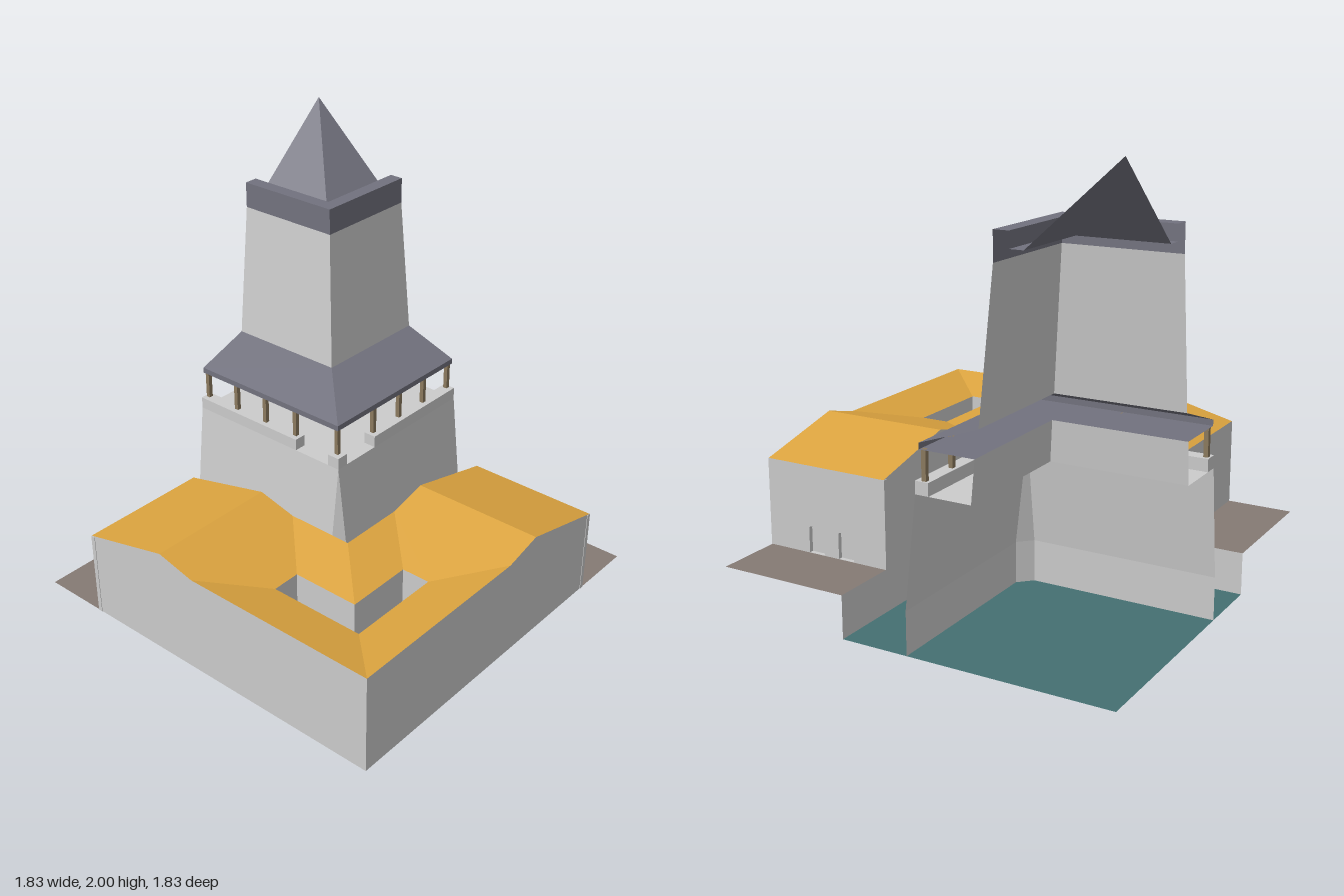
import * as THREE from 'three';

const R = 0.915;            // half the plot, also the tower axis at (R, -R)
const GROUND = 0.19, EAVE = 0.585, EDGE = 0.645, RIDGE = 0.69;

const mat = (color) => new THREE.MeshStandardMaterial({ color, flatShading: true, side: THREE.DoubleSide });
const grey = mat(0xcccccc), slate = mat(0x72727e), gold = mat(0xdca43f), teal = mat(0x447072);
const earth = mat(0x857a74), sand = mat(0xc8b493), wood = mat(0x8b7a5e);

// Mirror across the plot's diagonal: the front half becomes the side half
const mirror = ([x, z, y]) => [-z, -x, y];

// Quads given as corners [x, z, y]; triangles of no area are dropped
function quads(list) {
  const pos = [], tri = new THREE.Triangle();
  for (const q of list) {
    const [a, b, c, d] = q.map(([x, z, y]) => new THREE.Vector3(x, y, z));
    for (const t of [[a, b, c], [a, c, d]]) {
      if (tri.set(...t).getArea() > 1e-7) t.forEach((v) => pos.push(v.x, v.y, v.z));
    }
  }
  const g = new THREE.BufferGeometry();
  g.setAttribute('position', new THREE.Float32BufferAttribute(pos, 3));
  g.computeVertexNormals();
  return g;
}

// Vertical wall under a path of [x, z, top]
function wall(path, bottom) {
  return quads(path.slice(1).map((b, i) => {
    const a = path[i];
    return [[a[0], a[1], bottom], [b[0], b[1], bottom], b, a];
  }));
}

// Quarter of a square tower from a profile of [half width, height, corner chamfer]
function quarter(profile) {
  const rings = profile.map(([d, y, c = 0]) => [
    [R - d, -R, y], [R - d, d - R - c, y], [R - d + c, d - R, y], [R, d - R, y]]);
  const list = [];
  for (let j = 0; j + 1 < rings.length; j++)
    for (let i = 0; i < 3; i++)
      list.push([rings[j][i], rings[j][i + 1], rings[j + 1][i + 1], rings[j + 1][i]]);
  return quads(list);
}

// Flat floor from outline points [x, z]
function floor(points, y, hole) {
  const shape = new THREE.Shape(points.map(([x, z]) => new THREE.Vector2(x, z)));
  if (hole) shape.holes.push(new THREE.Path(hole.map(([x, z]) => new THREE.Vector2(x, z))));
  return new THREE.ShapeGeometry(shape).rotateX(Math.PI / 2).translate(0, y, 0);
}

function box(x0, x1, y0, y1, z0, z1) {
  return new THREE.BoxGeometry(x1 - x0, y1 - y0, z1 - z0)
    .translate((x0 + x1) / 2, (y0 + y1) / 2, (z0 + z1) / 2);
}

// Gable end with two recessed doors, facing local +z
function endWall(s) {
  const w = 0.305, h = EAVE - GROUND, t = 0.02;
  const shape = new THREE.Shape();
  shape.moveTo(-w, 0).lineTo(w, 0).lineTo(w, h).lineTo(-w, h).closePath();
  for (const u of [-0.055 * s, 0.1 * s]) {
    const a = 0.04, k = 0.122, r = 0.015;
    const p = new THREE.Path();
    p.moveTo(u - a, 0.001).lineTo(u - a, k - r);
    p.quadraticCurveTo(u - a, k, u - a + r, k).lineTo(u + a - r, k);
    p.quadraticCurveTo(u + a, k, u + a, k - r).lineTo(u + a, 0.001).closePath();
    shape.holes.push(p);
  }
  const group = new THREE.Group();
  const face = new THREE.Mesh(
    new THREE.ExtrudeGeometry(shape, { depth: t, bevelEnabled: false, curveSegments: 4 }).translate(0, 0, -t), grey);
  face.name = 'endWallFace';
  const doors = new THREE.Mesh(new THREE.PlaneGeometry(0.3, 0.15).translate(0, 0.075, -t - 0.001), grey);
  doors.name = 'doors';
  group.add(face, doors);
  return group;
}

export function createModel() {
  const model = new THREE.Group();
  const add = (name, geometry, material) => {
    const m = new THREE.Mesh(geometry, material);
    m.name = name;
    model.add(m);
    return m;
  };

  // Moat and ground
  const m = 0.31, e = 0.61;
  add('water', floor([[-m, -R], [R, -R], [R, m], [-m, m]], 0), teal);
  add('moatWall', wall([[R, m, GROUND], [-m, m, GROUND], [-m, -R, GROUND]].reverse(), 0), grey);
  add('groundFront', floor([[e, m], [R, m], [R, R], [e, R]], GROUND), earth);
  add('groundBack', floor([[-R, -R], [-m, -R], [-m, -e], [-R, -e]], GROUND), earth);

  // Courtyard building
  const court = [[-0.68, 0.24], [-0.55, 0.24], [-0.55, 0.55], [-0.24, 0.55], [-0.24, 0.68], [-0.68, 0.68]];
  add('buildingBase', floor([[-R, -e], [-m, -e], [-m, m], [e, m], [e, R], [-R, R]], GROUND, court), grey);
  add('courtyardFloor', floor(court, GROUND), sand);
  add('courtyardWall', wall([...court, court[0]].map(([x, z]) => [x, z, EAVE]), GROUND), grey);
  const rise = [[-e, EAVE], [-0.18, RIDGE], [0, EDGE]];
  const side = (x, z) => rise.map(([v, y]) => [x, v, y]).concat([[x, z, EDGE]]);
  const outer = side(-R, R), inner = side(-m, m);
  add('outerWallSide', wall(outer, GROUND), grey);
  add('outerWallFront', wall(outer.map(mirror).reverse(), GROUND), grey);
  add('moatSideWall', wall([...inner].reverse(), GROUND), grey);
  add('moatFrontWall', wall(inner.map(mirror), GROUND), grey);

  const east = endWall(1), north = endWall(-1);
  east.name = 'endWallRight';
  east.position.set(e, GROUND, 0.6125);
  east.rotation.y = Math.PI / 2;
  north.name = 'endWallBack';
  north.position.set(-0.6125, GROUND, -e);
  north.rotation.y = Math.PI;
  model.add(east, north);

  // Roof: gable at the end, then slopes falling into the courtyard
  const roofHalf = [
    [[-R, -e, EAVE], [-R, -0.18, RIDGE], [-m, -0.18, RIDGE], [-m, -e, EAVE]],
    [[-R, -0.18, RIDGE], [-R, 0, EDGE], [-m, 0, EDGE], [-m, -0.18, RIDGE]],
    [[-R, 0, EDGE], [-0.68, 0.24, EAVE], [-0.55, 0.24, EAVE], [-m, 0, EDGE]],
    [[-R, 0, EDGE], [-R, R, EDGE], [-0.68, 0.68, EAVE], [-0.68, 0.24, EAVE]],
    [[-m, 0, EDGE], [-0.55, 0.24, EAVE], [-0.55, 0.55, EAVE], [-m, m, EDGE]],
  ];
  add('buildingRoof', quads([...roofHalf, ...roofHalf.map((q) => q.map(mirror).reverse())]), gold);

  // Tower, bottom to top
  add('towerBase', quarter([[R, 0, 0.06], [R, GROUND, 0.06], [0.86, 0.68]]), grey);
  add('galleryDeck', quarter([[0.86, 0.68], [0.61, 0.68]]), grey);
  add('galleryWall', quarter([[0.61, 0.68], [0.593, 0.862]]), grey);
  add('galleryRoof', quarter([[0.593, 0.862], [0.84, 0.862], [0.84, 0.888], [0.575, 0.98]]), slate);
  add('towerShaft', quarter([[0.575, 0.98], [0.51, 1.6]]), grey);
  add('towerCrown', quarter([[0.51, 1.6], [0.51, 1.72], [0.445, 1.72], [0.445, 1.655], [0.385, 1.655]]), slate);
  add('spire', quarter([[0.385, 1.655], [0, 2]]), slate);

  // Gallery parapet and posts on both faces
  const p0 = 0.055, p1 = 0.115, top = 0.735, t = 0.01;
  add('parapetCorner', box(p0, p1, 0.68, top, -p1, -p0), grey);
  add('parapetFront', box(0.31, R, 0.68, top, -p1, -p0), grey);
  add('parapetSide', box(p0, p1, 0.68, top, -R, -0.31), grey);
  for (const x of [0.09, 0.34, 0.527, 0.71, 0.897]) {
    add('postFront', box(x - t, x + t, top, 0.862, -0.09 - t, -0.09 + t), wood);
    if (x > 0.1) add('postSide', box(0.09 - t, 0.09 + t, top, 0.862, -x - t, -x + t), wood);
  }
  return model;
}
